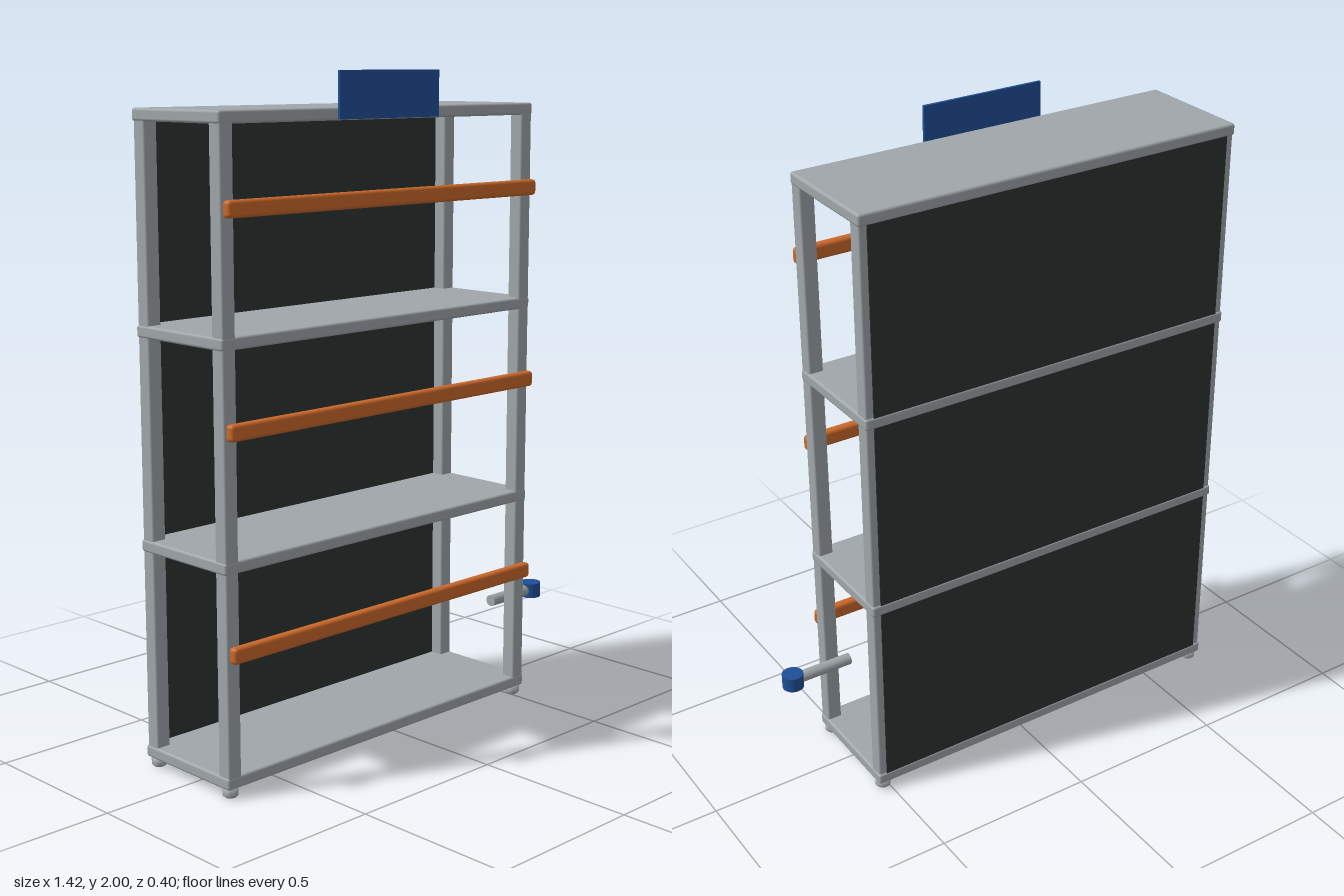
import * as THREE from 'three';
import { RoundedBoxGeometry } from 'three/addons/geometries/RoundedBoxGeometry.js';

const material = (name, color) => {
  const m = new THREE.MeshStandardMaterial({ color });
  m.name = name;
  return m;
};

export function createModel() {
  const grey = material('grey metal', 0xa0a6a9);
  const dark = material('dark panel', 0x2c3533);
  const orange = material('orange rail', 0xcb682a);
  const blue = material('blue', 0x1f4f98);
  const model = new THREE.Group();
  model.name = 'shelfRack';

  const add = (name, geometry, mat, x, y, z) => {
    const mesh = new THREE.Mesh(geometry, mat);
    mesh.name = name;
    mesh.position.set(x, y, z);
    model.add(mesh);
    return mesh;
  };
  // Box given by its limits, with rounded edges when r > 0
  const box = (name, mat, [x0, x1], [y0, y1], [z0, z1], r = 0) => {
    const size = [x1 - x0, y1 - y0, z1 - z0];
    const geometry = r ? new RoundedBoxGeometry(...size, 3, r) : new THREE.BoxGeometry(...size);
    return add(name, geometry, mat, (x0 + x1) / 2, (y0 + y1) / 2, (z0 + z1) / 2);
  };

  // Shelves
  for (const y of [0.045, 0.665, 1.283, 1.881]) {
    box('shelf', grey, [-0.71, 0.542], [y - 0.018, y + 0.018], [-0.2, 0.172], 0.008);
  }

  // Corner posts, each on a small round foot
  const footProfile = [[0, 0], [0.017, 0], [0.023, 0.006], [0.023, 0.03], [0, 0.03]]
    .map(([x, y]) => new THREE.Vector2(x, y));
  for (const x of [-0.684, 0.516]) {
    for (const z of [-0.172, 0.148]) {
      box('post', grey, [x - 0.023, x + 0.023], [0.03, 1.88], [z - 0.023, z + 0.023], 0.006);
      add('foot', new THREE.LatheGeometry(footProfile, 20), grey, x, 0, z);
    }
  }

  // Back panel
  box('backPanel', dark, [-0.683, 0.515], [0.045, 1.88], [-0.198, -0.19]);

  // Front guard rails
  for (const y of [0.422, 1.045, 1.643]) {
    box('guardRail', orange, [-0.703, 0.535], [y - 0.024, y + 0.024], [0.17, 0.2], 0.011);
  }

  // Header plate
  box('headerPlate', blue, [-0.283, 0.113], [1.866, 2], [0.172, 0.181]);

  // Side handle and its knob
  const rod = add('handleRod', new THREE.CylinderGeometry(0.018, 0.018, 0.19, 20), grey, 0.573, 0.305, 0.084);
  rod.rotation.z = Math.PI / 2;
  add('handleKnob', new THREE.CylinderGeometry(0.033, 0.033, 0.047, 28), blue, 0.675, 0.305, 0.084);

  return model;
}
